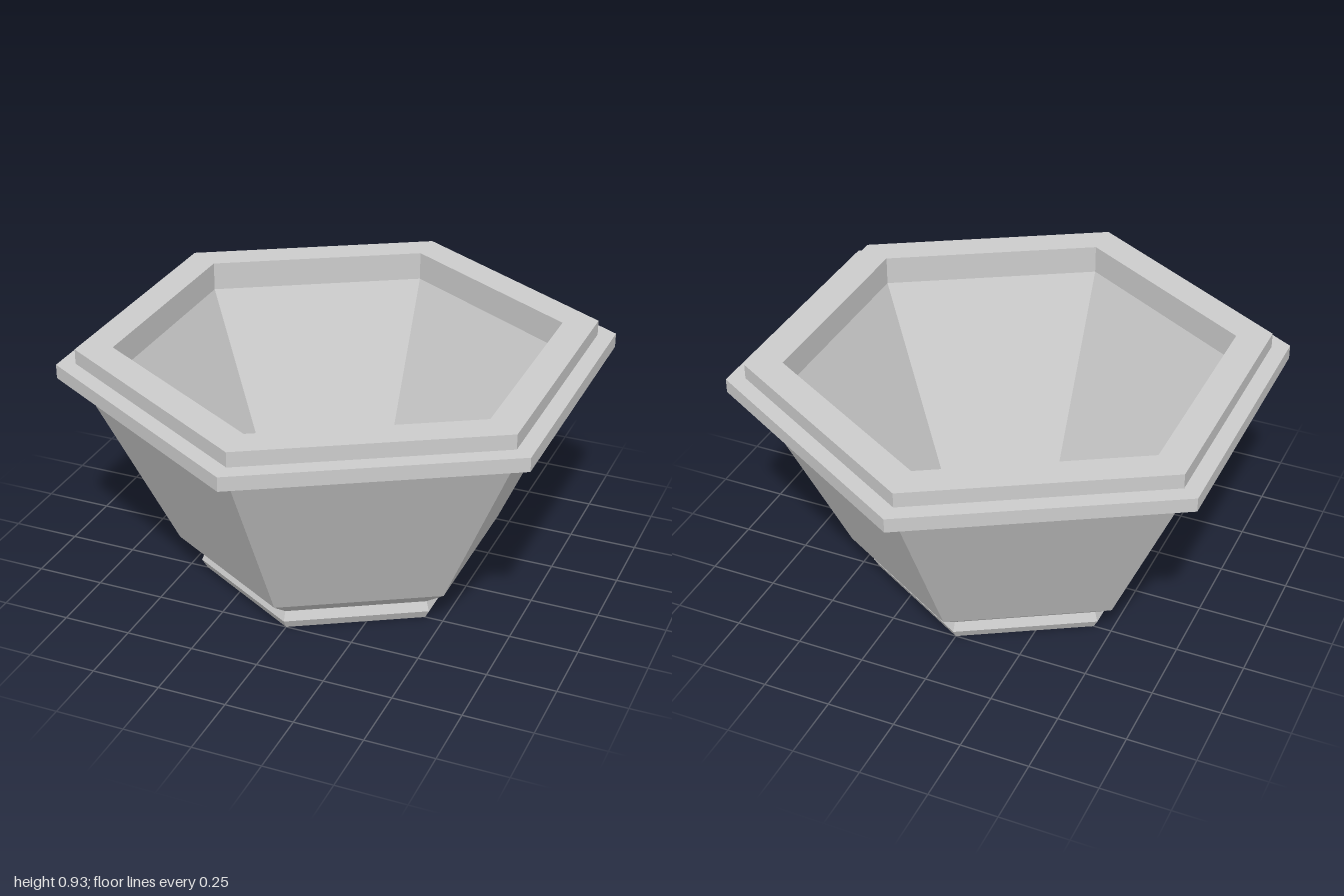
import * as THREE from 'three';

export function createModel() {
  const group = new THREE.Group();
  group.name = 'hexagonalPlanter';
  const stone = new THREE.MeshStandardMaterial({ color: 0xcccccc, flatShading: true });
  stone.name = 'pale grey stone';

  // Six-sided ring from a [radius, height] profile, corners on the z axis
  const hexPart = (name, profile) => {
    const points = profile.map(([r, y]) => new THREE.Vector2(r, y));
    const mesh = new THREE.Mesh(new THREE.LatheGeometry(points, 6), stone);
    mesh.name = name;
    group.add(mesh);
  };

  // Bevelled foot with a closed underside
  hexPart('foot', [[0, 0], [0.5, 0], [0.52, 0.035], [0.505, 0.07]]);
  // Flared outer wall
  hexPart('outerWall', [[0.505, 0.07], [0.597, 0.14], [0.93, 0.82]]);
  // Stepped rim
  hexPart('rim', [[0.93, 0.82], [1, 0.82], [1, 0.872], [0.932, 0.872], [0.932, 0.927], [0.8, 0.927]]);
  // Hollow inside: short upright lip, sloping wall and flat floor
  hexPart('innerWall', [[0.8, 0.927], [0.8, 0.82], [0.465, 0.14]]);
  hexPart('floor', [[0.465, 0.14], [0, 0.14]]);

  return group;
}
